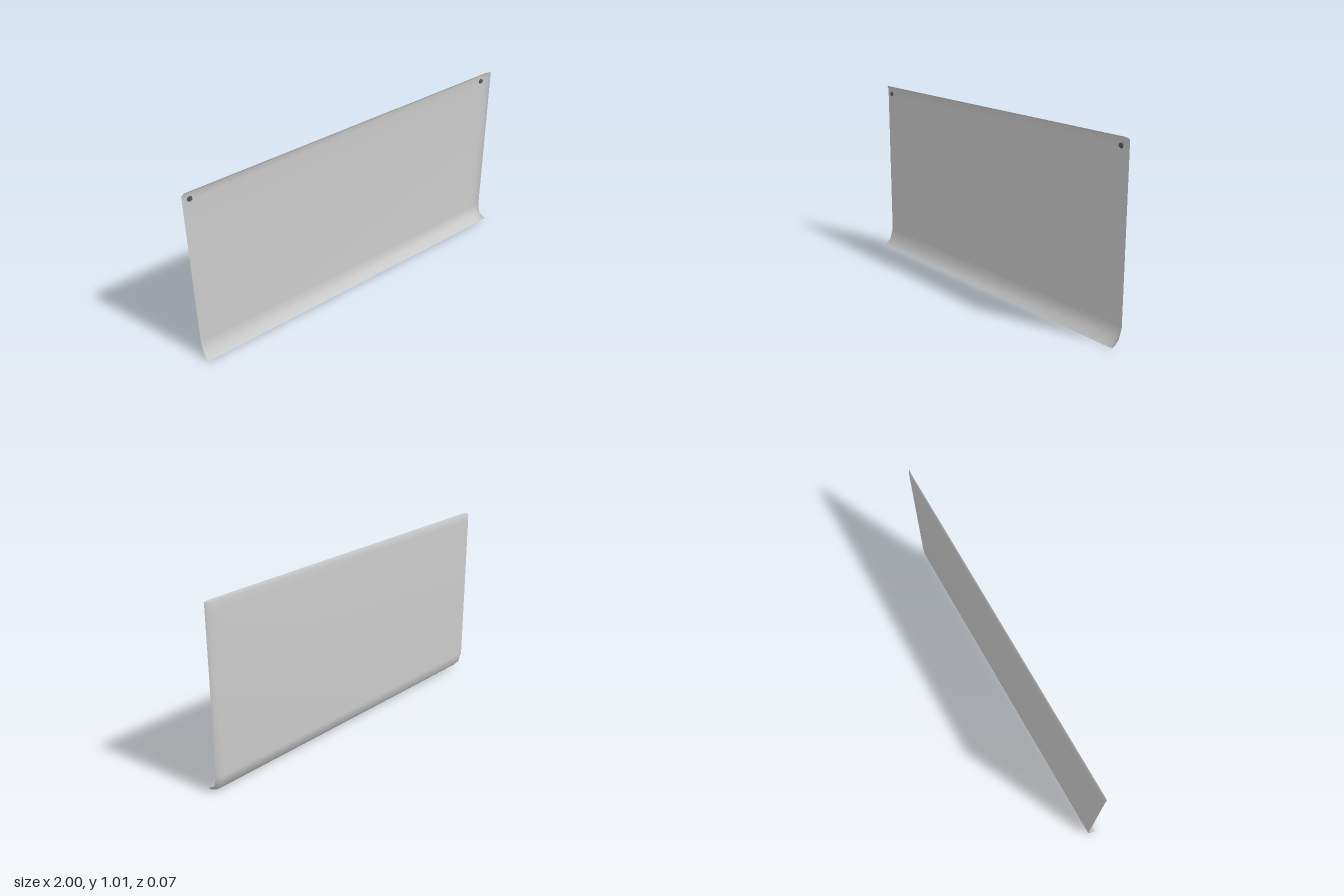
import * as THREE from 'three';

// Side profile from top edge to curled lip: [y, z] of the main sheet, then of its turned-up right rim
const PROFILE = [
  { main: [1.015, -0.026], rim: [1.008, -0.02] },
  { main: [1.0, -0.034], rim: [0.998, -0.021] },
  { main: [0.96, -0.035], rim: [0.96, -0.021] },
  { main: [0.1, -0.035], rim: [0.1, -0.021] },
  { main: [0.037, -0.016], rim: [0.045, -0.004] },
  { main: [0.0, 0.02], rim: [0.022, 0.035] },
];
// Columns across the width: x, how far the rim turns forward, how much the top corner drops
const COLUMNS = [
  { x: -1, turn: 0, drop: 0.01 },
  { x: -0.988, turn: 0, drop: 0 },
  { x: -0.9, turn: 0, drop: 0 },
  { x: 0.9, turn: 0, drop: 0 },
  { x: 0.955, turn: 0, drop: 0 },
  { x: 0.982, turn: 0.4, drop: 0 },
  { x: 0.993, turn: 1, drop: 0 },
];

function sheetGeometry() {
  const positions = [], index = [], n = COLUMNS.length;
  PROFILE.forEach(({ main, rim }, r) => {
    COLUMNS.forEach(({ x, turn, drop }, c) => {
      // The rim leans outwards slightly at the lip
      const lean = r === PROFILE.length - 1 ? 0.007 * turn : 0;
      positions.push(
        x + lean,
        THREE.MathUtils.lerp(main[0], rim[0], turn) - (r === 0 ? drop : 0),
        THREE.MathUtils.lerp(main[1], rim[1], turn));
      if (r > 0 && c > 0) {
        const d = r * n + c, b = d - n;
        index.push(b - 1, d - 1, b, b, d - 1, d);
      }
    });
  });
  const g = new THREE.BufferGeometry();
  g.setAttribute('position', new THREE.Float32BufferAttribute(positions, 3));
  g.setIndex(index);
  g.computeVertexNormals();
  return g;
}

export function createModel() {
  const group = new THREE.Group();
  group.name = 'hangingSheet';

  // Thin sheet with curled lip
  const sheet = new THREE.Mesh(sheetGeometry(),
    new THREE.MeshStandardMaterial({ color: 0xcccccc, side: THREE.DoubleSide }));
  sheet.name = 'sheet';
  group.add(sheet);

  // Small dark pins in the top corners
  const pinMaterial = new THREE.MeshStandardMaterial({ color: 0x555555 });
  const pinGeometry = new THREE.CylinderGeometry(0.011, 0.014, 0.006, 16).rotateX(Math.PI / 2);
  for (const [name, x] of [['rightPin', -0.96], ['leftPin', 0.93]]) {
    const pin = new THREE.Mesh(pinGeometry, pinMaterial);
    pin.name = name;
    pin.position.set(x, 0.97, -0.031);
    group.add(pin);
  }
  return group;
}
